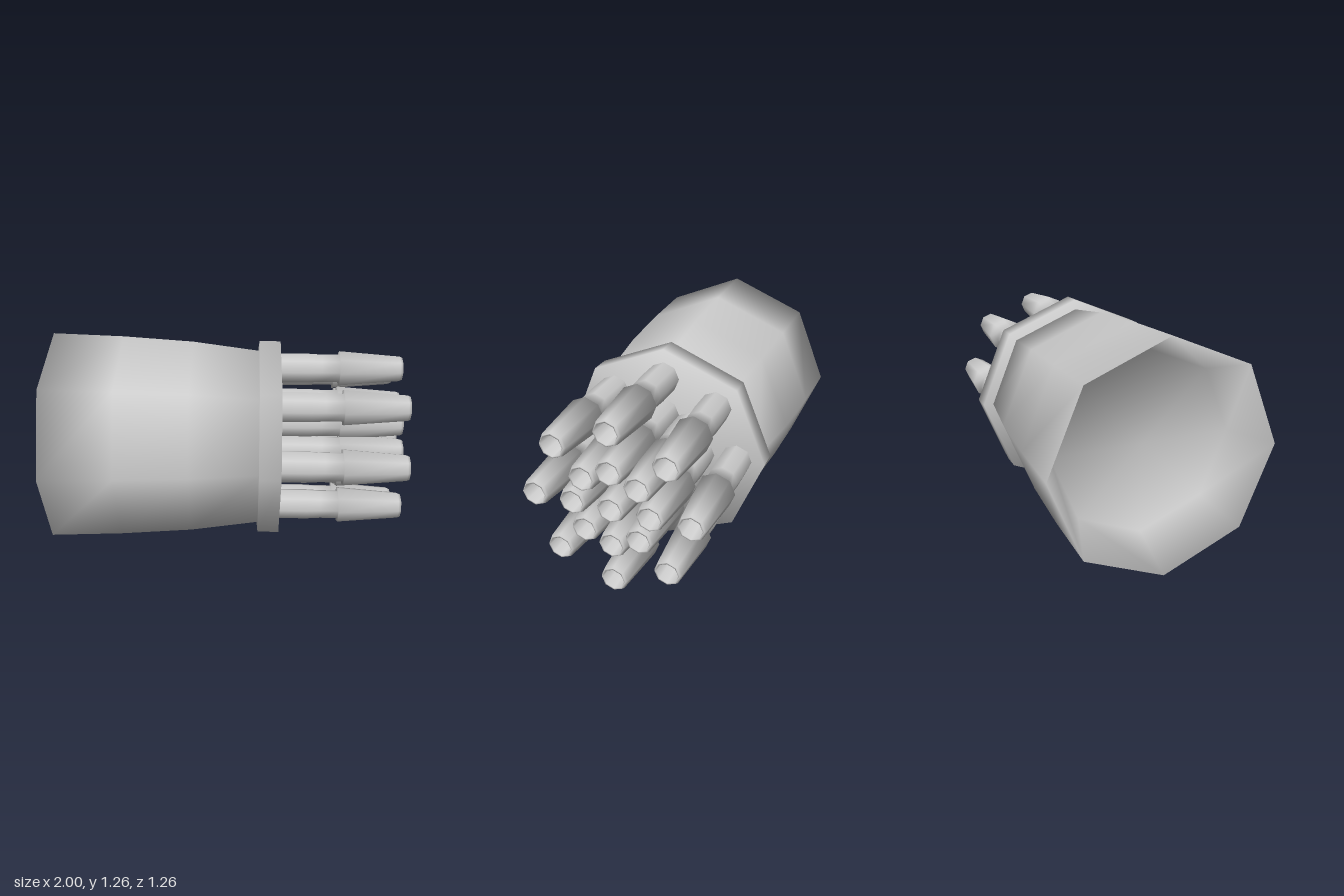
import * as THREE from 'three';

const SIDES = 8;
const AXIS_Y = 0.628;

// Turned part along x: profile is a list of [x, radius], shaded smooth all over,
// each rim taking the mean direction of the two surfaces that meet there
function turned(profile) {
  const points = profile.map(([x, r]) => new THREE.Vector2(r, x));
  const facing = points.slice(1).map((p, i) => {
    const d = p.clone().sub(points[i]).normalize();
    return new THREE.Vector2(d.y, -d.x);
  });
  const geometry = new THREE.LatheGeometry(points, SIDES);
  const normals = geometry.attributes.normal;
  for (let k = 0; k < normals.count; k++) {
    const j = k % points.length;
    const angle = (Math.floor(k / points.length) * 2 * Math.PI) / SIDES;
    const n = new THREE.Vector2();
    if (j > 0) n.add(facing[j - 1]);
    if (j < facing.length) n.add(facing[j]);
    n.normalize();
    normals.setXYZ(k, n.x * Math.sin(angle), n.y, n.x * Math.cos(angle));
  }
  return geometry.rotateZ(-Math.PI / 2);
}

export function createModel() {
  const model = new THREE.Group();
  model.name = 'multiBarrelLauncher';
  const material = new THREE.MeshStandardMaterial({ color: 0xcccccc });

  function add(name, geometry, y = 0, z = 0) {
    const mesh = new THREE.Mesh(geometry, material);
    mesh.name = name;
    mesh.position.set(0, AXIS_Y + y, z);
    model.add(mesh);
  }

  // Tapering octagonal housing with a thin rim and a recessed back
  add('housing', turned([
    [-0.73, 0], [-0.73, 0.51], [-1, 0.628],
    [-0.6, 0.613], [-0.2, 0.585], [0.19, 0.532], [0.19, 0],
  ]));

  // Plate that carries the barrels
  add('frontPlate', turned([[0.18, 0], [0.18, 0.591], [0.3, 0.591], [0.3, 0]]));

  // Barrel with a stepped, tapering muzzle and a bore
  const barrel = turned([
    [0.28, 0.088], [0.46, 0.088], [0.54, 0.083], [0.64, 0.083], [0.64, 0.104],
    [0.985, 0.075], [1, 0.068], [1, 0.06], [0.86, 0.054], [0.86, 0],
  ]);

  // One barrel in the middle and two rings of eight
  add('centreBarrel', barrel, 0.004, -0.003);
  for (const [name, radius] of [['innerBarrel', 0.211], ['outerBarrel', 0.426]]) {
    for (let i = 0; i < 8; i++) {
      const angle = (i * Math.PI) / 4;
      add(name, barrel, 0.004 + radius * Math.cos(angle), -0.003 + radius * Math.sin(angle));
    }
  }
  return model;
}
